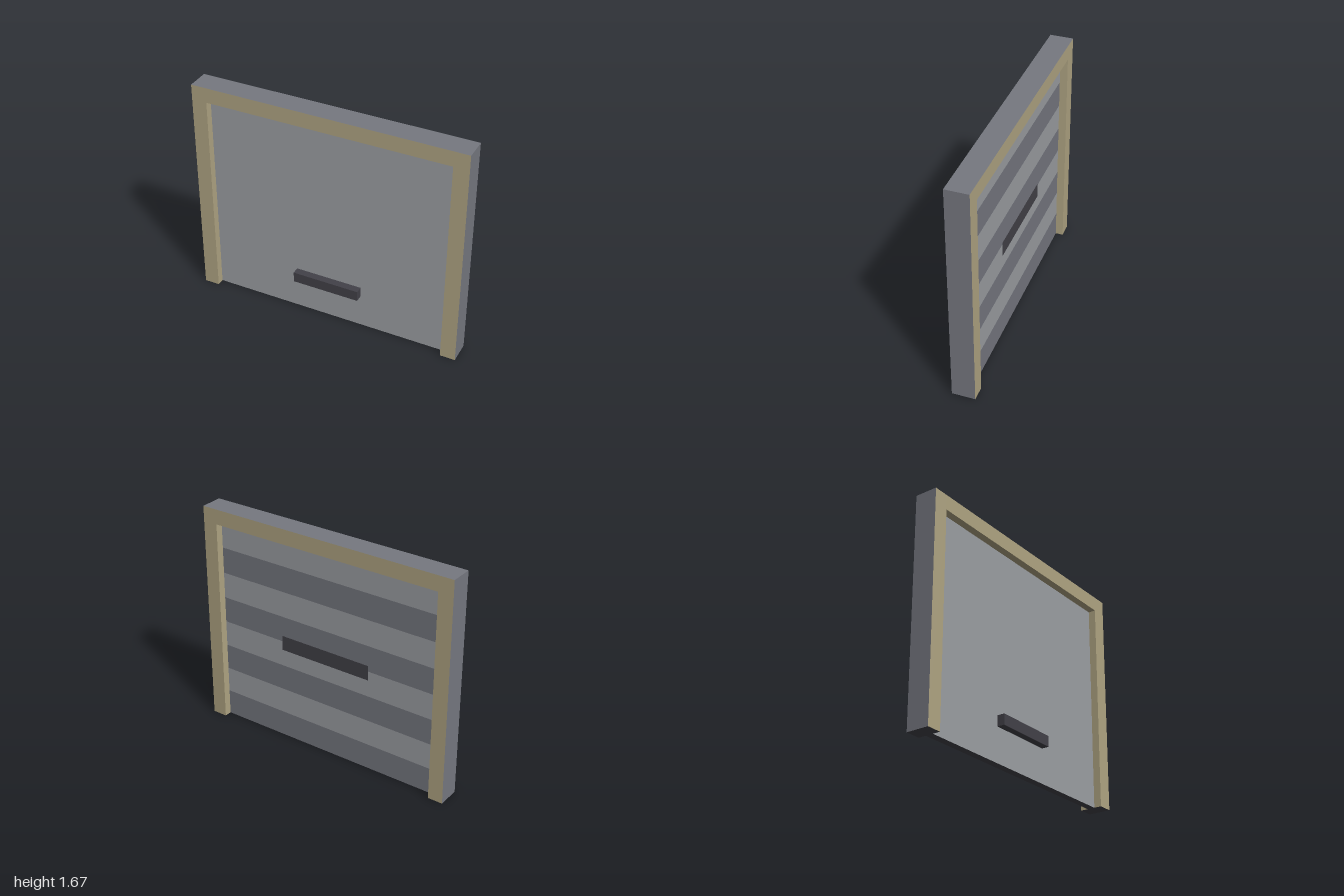
import * as THREE from 'three';

const mat = (name, color) => {
  const m = new THREE.MeshStandardMaterial({ color });
  m.name = name;
  return m;
};

export function createModel() {
  const beige = mat('beigeTrim', 0xb0a583);
  const paleGrey = mat('paleGrey', 0x9c9fa3);
  const midGrey = mat('midGrey', 0x767880);
  const charcoal = mat('charcoal', 0x424148);

  const model = new THREE.Group();
  model.name = 'garageDoor';

  // Box with its lower face at y; materials in order +x, -x, +y, -y, +z, -z
  const addBox = (name, [w, h, d], [x, y, z], materials, parent = model) => {
    const mesh = new THREE.Mesh(new THREE.BoxGeometry(w, h, d), materials);
    mesh.name = name;
    mesh.position.set(x, y + h / 2, z);
    parent.add(mesh);
    return mesh;
  };

  const height = 1.667, depth = 0.167, trim = 0.111;
  const openW = 2 - 2 * trim, openH = height - trim;

  // Frame: beige faces and reveals, grey outer sides
  const frame = new THREE.Group();
  frame.name = 'frame';
  model.add(frame);
  for (const side of [1, -1]) {
    const outer = side > 0 ? [midGrey, beige] : [beige, midGrey];
    addBox(side > 0 ? 'leftJamb' : 'rightJamb', [trim, height, depth], [side * (1 - trim / 2), 0, 0],
      [...outer, midGrey, charcoal, beige, beige], frame);
  }
  addBox('lintel', [openW, trim, depth], [0, openH, 0],
    [beige, beige, midGrey, beige, beige, beige], frame);

  // Door: plain front, alternating bands on the back
  const door = new THREE.Group();
  door.name = 'door';
  model.add(door);
  const bands = 8, bandH = openH / bands, doorD = 0.056;
  for (let i = 0; i < bands; i++) {
    const back = i % 2 ? paleGrey : midGrey;
    addBox('doorPanel' + (i + 1), [openW, bandH, doorD], [0, i * bandH, 0],
      [paleGrey, paleGrey, paleGrey, charcoal, paleGrey, back], door);
  }

  // Pull handle on the front
  addBox('frontHandle', [0.5, 0.078, 0.055], [0, 0.253, 0.0555], charcoal);

  // Flat plate held just off the back
  const plate = new THREE.Mesh(new THREE.PlaneGeometry(0.722, 0.111), charcoal);
  plate.name = 'backPlate';
  plate.position.set(0, 0.778, -0.047);
  plate.rotation.y = Math.PI;
  model.add(plate);

  return model;
}
